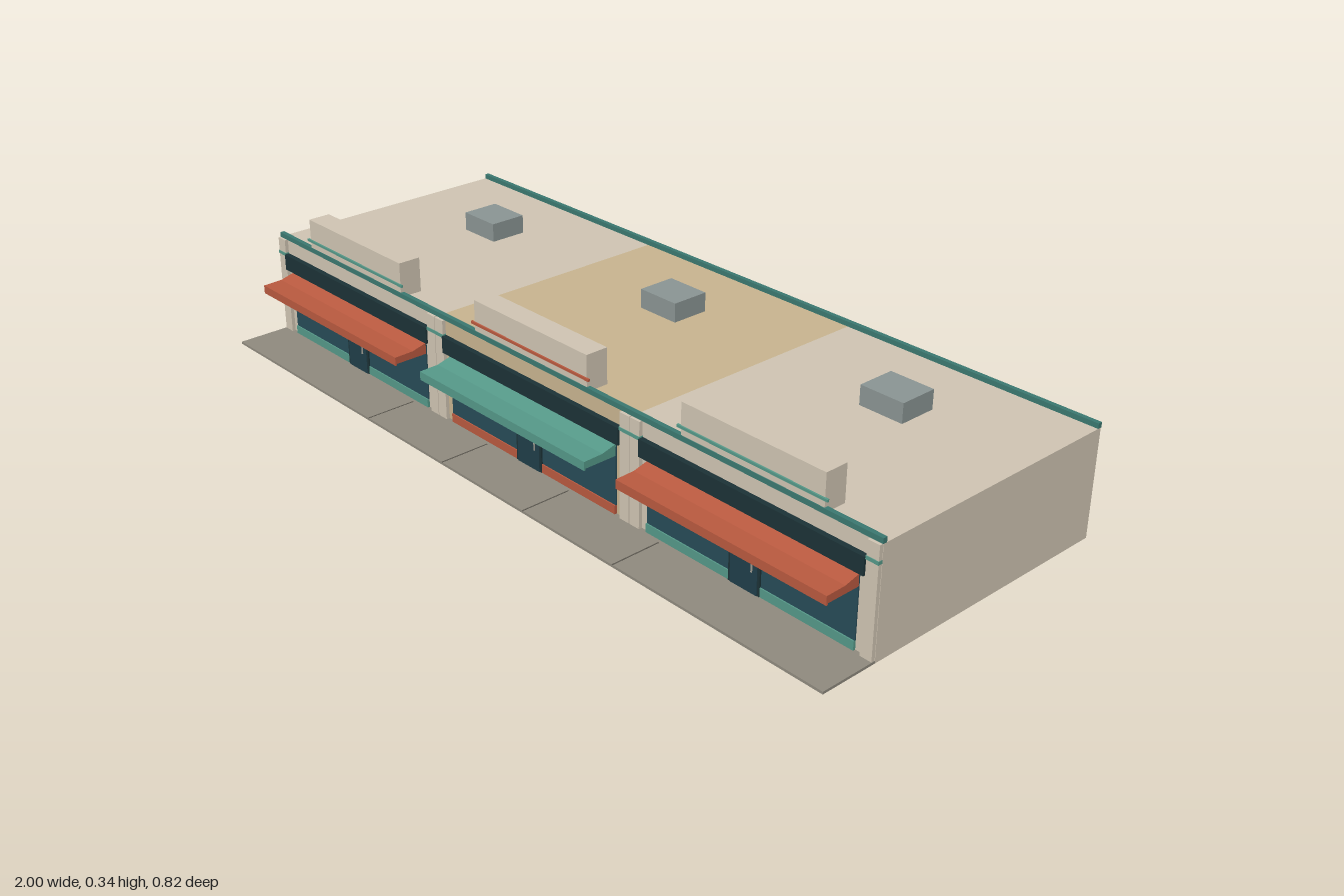
import * as THREE from 'three';

const material = (color) => new THREE.MeshStandardMaterial({ color });
const cream = material(0xcfc4b2), tan = material(0xc8b48f), teal = material(0x559888),
  darkTeal = material(0x3b7870), orange = material(0xb8593f), glass = material(0x274b57),
  dark = material(0x1c3236), doorBlue = material(0x1f3e49), grey = material(0x8a9493),
  paving = material(0x8f8a7e), seam = material(0x5c5850), backDoor = material(0x6f7b80),
  metal = material(0xa9a59a);

// Box given by its extents on each axis
function box(parent, name, mat, [x0, x1], [y0, y1], [z0, z1]) {
  const mesh = new THREE.Mesh(new THREE.BoxGeometry(x1 - x0, y1 - y0, z1 - z0), mat);
  mesh.position.set((x0 + x1) / 2, (y0 + y1) / 2, (z0 + z1) / 2);
  mesh.name = name;
  parent.add(mesh);
  return mesh;
}

// Awning: side profile in (z, y) drawn out along x
function awning(parent, mat, width) {
  const profile = [[0.268, 0.146], [0.352, 0.146], [0.352, 0.142], [0.356, 0.142],
    [0.356, 0.163], [0.306, 0.164], [0.268, 0.174]];
  const shape = new THREE.Shape(profile.map(([z, y]) => new THREE.Vector2(z, y)));
  const geo = new THREE.ExtrudeGeometry(shape, { depth: width, bevelEnabled: false });
  geo.translate(0, 0, -width / 2).rotateY(-Math.PI / 2);
  const mesh = new THREE.Mesh(geo, mat);
  mesh.name = 'awning';
  parent.add(mesh);
}

function shop(index) {
  const unit = new THREE.Group();
  unit.name = 'shopUnit';
  unit.position.x = (index - 1) * 2 / 3;
  const middle = index === 1;
  const wall = middle ? tan : cream;
  const accent = middle ? orange : teal;
  const half = 1 / 3, top = 0.258, face = 0.266;

  box(unit, 'building', wall, [-half, half], [0, top], [-0.4, face]);

  // Pilasters with small capitals at both ends of the shopfront
  for (const s of [-1, 1]) {
    const span = (a, b) => s < 0 ? [-b, -a] : [a, b];
    box(unit, 'pilaster', cream, span(0.303, half - 0.001), [0, top], [face - 0.002, 0.275]);
    box(unit, 'pilasterCapital', teal, span(0.302, half - 0.0002), [0.216, 0.224], [face, 0.2765]);
  }

  // Shopfront: stall riser, window, sign board and awning
  box(unit, 'stallRiser', accent, [-0.285, 0.285], [0, 0.027], [face, 0.272]);
  box(unit, 'shopWindow', glass, [-0.285, 0.285], [0.027, 0.172], [face, 0.269]);
  box(unit, 'signBoard', dark, [-0.302, 0.302], [0.18, 0.221], [face, 0.279]);
  awning(unit, middle ? teal : orange, 0.57);

  // Front door and handle
  box(unit, 'doorFrame', dark, [-0.043, 0.043], [0, 0.136], [face, 0.273]);
  box(unit, 'frontDoor', doorBlue, [-0.037, 0.037], [0.005, 0.131], [face, 0.2745]);
  box(unit, 'doorHandle', metal, [0.021, 0.024], [0.055, 0.082], [0.274, 0.277]);

  // Raised parapet with a coloured stripe
  box(unit, 'parapet', cream, [-0.191, 0.191], [top, 0.344], [0.209, face]);
  box(unit, 'parapetStripe', accent, [-0.2, 0.2], [0.286, 0.292], [face - 0.001, 0.27]);

  // Rooftop unit
  box(unit, 'rooftopUnit', grey, [-0.057, 0.057], [top, 0.305], [-0.21, -0.114]);

  // Rear door and downpipe
  box(unit, 'rearDoor', backDoor, [0.119, 0.174], [0, 0.115], [-0.404, -0.399]);
  box(unit, 'downpipe', dark, [0.287, 0.297], [0.003, top], [-0.408, -0.399]);
  return unit;
}

export function createModel() {
  const group = new THREE.Group();
  group.name = 'shoppingParade';
  for (let i = 0; i < 3; i++) group.add(shop(i));

  // Roof edge trims
  box(group, 'frontRoofTrim', darkTeal, [-1, 1], [0.258, 0.27], [0.257, 0.268]);
  box(group, 'rearRoofTrim', darkTeal, [-1, 1], [0.258, 0.27], [-0.402, -0.391]);

  // Pavement with slab joints
  box(group, 'pavement', paving, [-1, 1], [0, 0.006], [0.266, 0.408]);
  for (const x of [-0.43, -0.143, 0.143, 0.43]) {
    box(group, 'pavementJoint', seam, [x - 0.0015, x + 0.0015], [0.005, 0.0066], [0.28, 0.408]);
  }
  return group;
}
